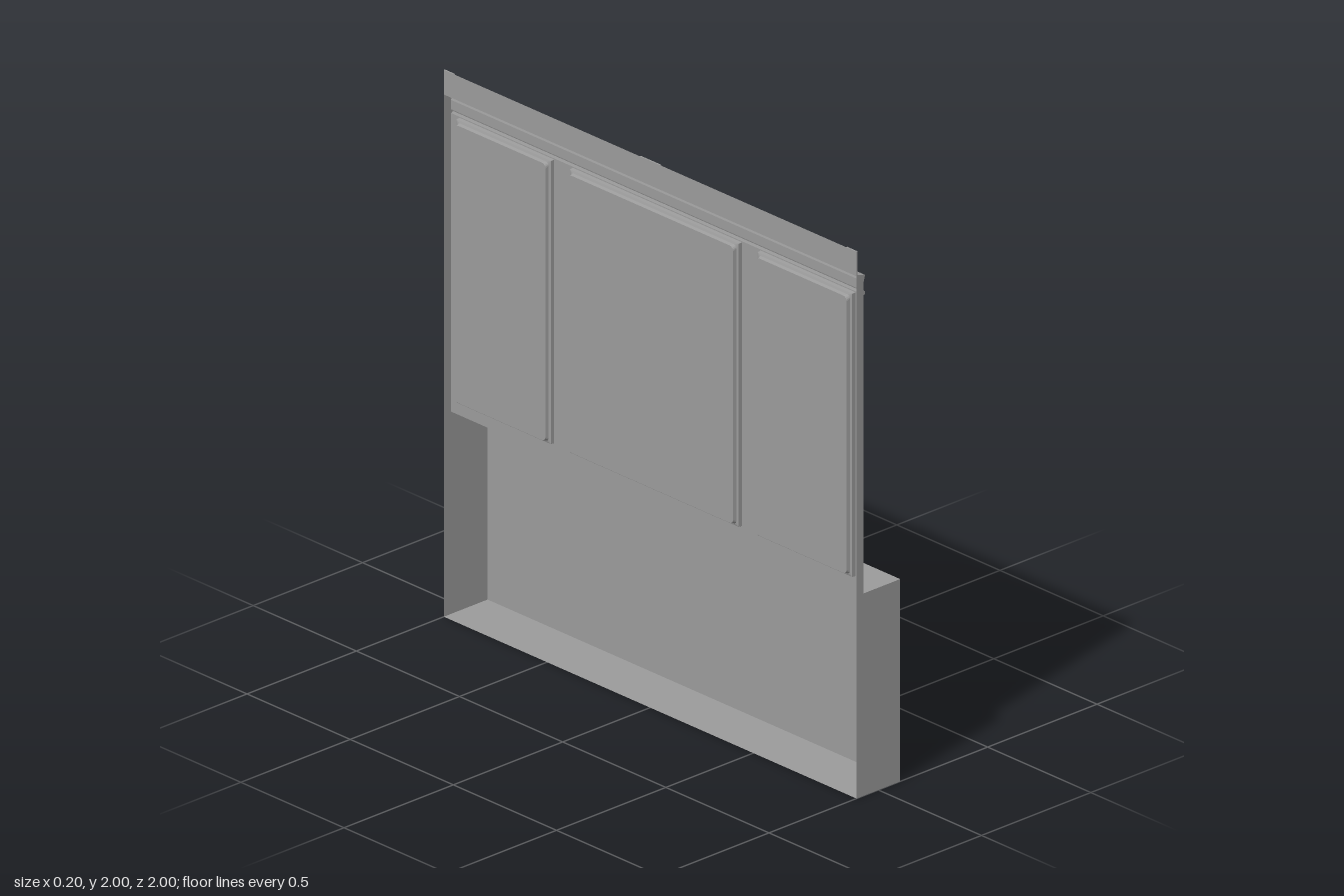
import * as THREE from 'three';

const mat = new THREE.MeshStandardMaterial({ color: 0x9c9c9c, side: THREE.DoubleSide, flatShading: true });
const FACE = -0.067, BACK = -0.1, PANEL = -0.096;
const Y0 = 0.79, Y1 = 1.828;

function add(group, name, geometry) {
  const mesh = new THREE.Mesh(geometry, mat);
  mesh.name = name;
  group.add(mesh);
  return mesh;
}

// Skin between rows of points; each row has the same length
function skin(rows) {
  const pos = [], idx = [], n = rows[0].length;
  rows.forEach(r => r.forEach(p => pos.push(...p)));
  for (let i = 0; i < rows.length - 1; i++) {
    for (let j = 0; j < n - 1; j++) {
      const a = i * n + j, b = a + n;
      idx.push(a, a + 1, b, b, a + 1, b + 1);
    }
  }
  const g = new THREE.BufferGeometry();
  g.setAttribute('position', new THREE.Float32BufferAttribute(pos, 3));
  g.setIndex(idx);
  g.computeVertexNormals();
  return g;
}

// Run an (x, y) profile along the full length of z
const run = profile => skin(profile.map(([x, y]) => [[x, y, 1], [x, y, -1]]));

// Rounded rectangle as points in the (u = -z, y) plane
function outline(u0, u1, inset, r) {
  const a = u0 + inset + r, b = u1 - inset - r;
  const c = Y0 + inset + r, d = Y1 - inset - r;
  const pts = [];
  [[b, d], [a, d], [a, c], [b, c]].forEach(([u, y], k) => {
    for (let i = 0; i <= 4; i++) {
      const t = (k + i / 4) * Math.PI / 2;
      pts.push(new THREE.Vector2(u + r * Math.cos(t), y + r * Math.sin(t)));
    }
  });
  return pts;
}

// Flat sheet in the (u, y) plane turned to face +x
function sheet(shape, x) {
  return new THREE.ShapeGeometry(shape).rotateY(Math.PI / 2).translate(x, 0, 0);
}

export function createModel() {
  const model = new THREE.Group();
  model.name = 'panelledWall';

  // Hollow base, open at the back
  const base = [[BACK, 0], [0.1, 0], [0.1, 0.74], [FACE, 0.74]];
  add(model, 'baseShell', run(base));

  // Ledge and bead along the top
  const cornice = [[FACE, 1.832], [-0.062, 1.832], [-0.06, 1.838], [-0.062, 1.844], [FACE, 1.846],
    [FACE, 1.88], [-0.062, 1.897], [-0.062, 1.904], [BACK, 1.915]];
  add(model, 'cornice', run(cornice));

  // Closed ends
  const end = new THREE.Shape([...base, ...cornice].map(p => new THREE.Vector2(...p)));
  add(model, 'frontEnd', new THREE.ShapeGeometry(end).translate(0, 0, 1));
  const backCap = new THREE.ShapeGeometry(end).translate(0, 0, -1);
  backCap.setIndex(Array.from(backCap.index.array).reverse());
  backCap.computeVertexNormals();
  add(model, 'backEnd', backCap);

  // Face frame with three openings, each with a deep moulded recess
  const frame = new THREE.Shape([[-1, 0.74], [1, 0.74], [1, 1.832], [-1, 1.832]].map(p => new THREE.Vector2(...p)));
  const steps = [[0, 0.001, FACE], [0.001, 0.001, -0.081], [0.009, 0.012, -0.084], [0.012, 0.016, PANEL]];
  for (const [u0, u1] of [[-0.96, -0.5], [-0.41, 0.41], [0.5, 0.96]]) {
    frame.holes.push(new THREE.Path(outline(u0, u1, 0, 0.001)));
    const rows = steps.map(([inset, r, x]) => {
      const row = outline(u0, u1, inset, r).map(p => [x, p.y, -p.x]);
      return [...row, row[0]];
    });
    add(model, 'panelMoulding', skin(rows.reverse()));
    add(model, 'panel', sheet(new THREE.Shape(outline(u0, u1, 0.012, 0.016)), PANEL));
  }
  add(model, 'faceFrame', sheet(frame, FACE));

  // Thin sheet standing above the cornice, with slim ribs
  add(model, 'topStrip', run([[BACK, 1.91], [BACK, 2]]));
  for (const [z, w] of [[-0.975, 0.05], [0, 0.1], [0.975, 0.05]]) {
    add(model, 'stripRib', new THREE.BoxGeometry(0.005, 0.088, w)).position.set(BACK + 0.0026, 1.956, z);
  }
  return model;
}
